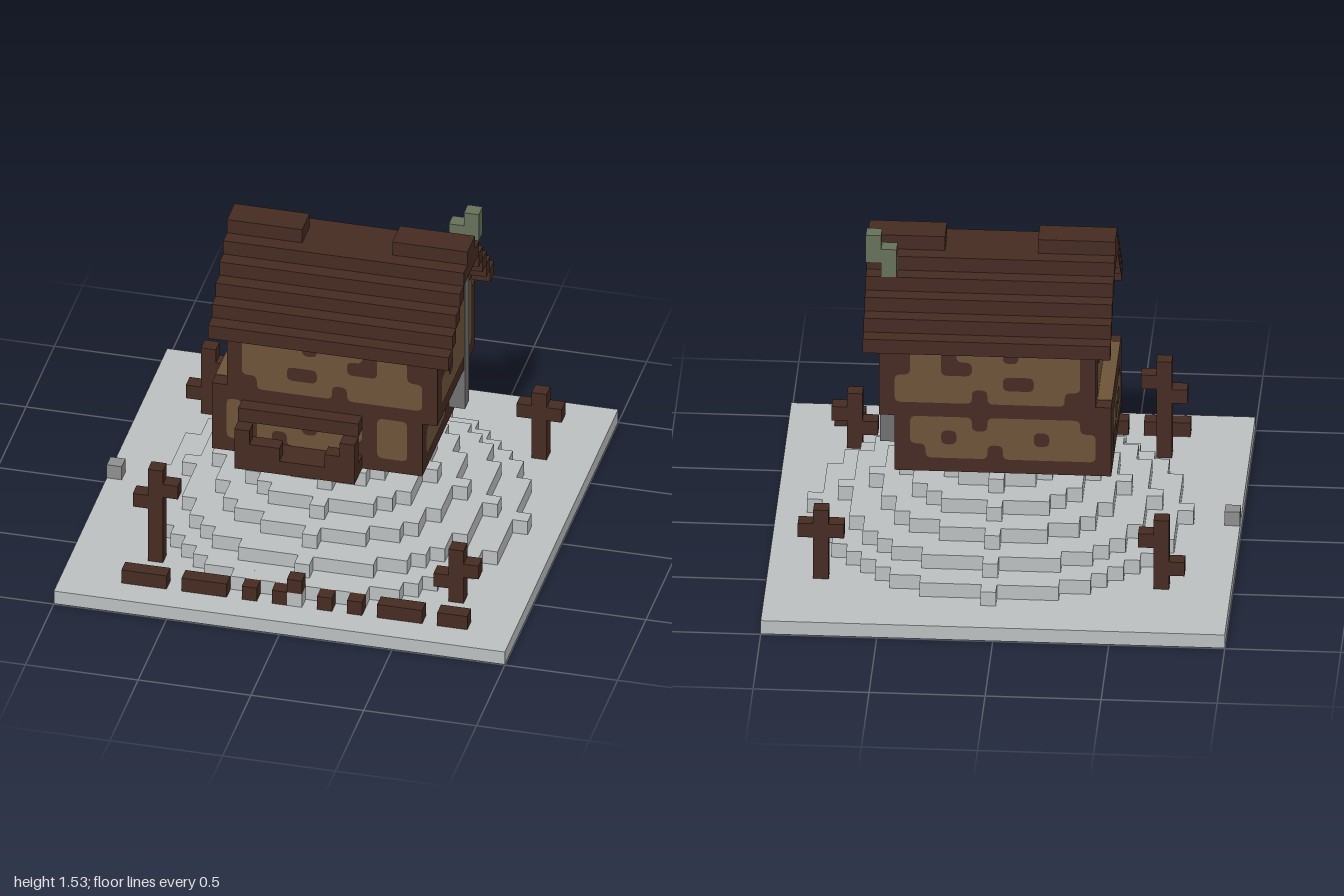
import * as THREE from 'three';
import { mergeGeometries } from 'three/addons/utils/BufferGeometryUtils.js';

const U = 1 / 15; // one block

const mat = (name, color, side = THREE.FrontSide) => {
  const m = new THREE.MeshStandardMaterial({ color, side });
  m.name = name;
  return m;
};

// Box from block coordinates [x0,x1, y0,y1, z0,z1]
function block([x0, x1, y0, y1, z0, z1]) {
  return new THREE.BoxGeometry((x1 - x0) * U, (y1 - y0) * U, (z1 - z0) * U)
    .translate((x0 + x1) * U / 2, (y0 + y1) * U / 2, (z0 + z1) * U / 2);
}

function part(name, material, boxes) {
  const mesh = new THREE.Mesh(mergeGeometries(boxes.map(block)), material);
  mesh.name = name;
  return mesh;
}

// Blocky disc, one row of blocks at a time
function disc(r, y0, y1) {
  const rows = [];
  for (let k = -r; k <= r; k++) {
    const w = Math.floor(Math.sqrt(r * r - k * k));
    rows.push([-w, w + 1, y0, y1, k, k + 1]);
  }
  return rows;
}

// Plaster patches with rounded corners: '#' plaster, '.' timber, ' ' outside the wall
function patches(name, material, rows, origin, angle) {
  const at = (i, j) => rows[j]?.[i] ?? '.';
  const shapes = [];
  const r = 0.4;
  rows.forEach((row, j) => [...row].forEach((cell, i) => {
    const corners = [[0, 0], [1, 0], [1, 1], [0, 1]];
    const y = -j - 1;
    const points = [];
    for (const [cx, cy] of corners) {
      const sx = cx ? 1 : -1, sy = cy ? 1 : -1;
      const h = at(i + sx, j), v = at(i, j - sy);
      const px = i + cx, py = y + cy;
      const a = new THREE.Vector2(px - sx * r, py), b = new THREE.Vector2(px, py - sy * r);
      const corner = new THREE.Vector2(px, py);
      const curve = new THREE.QuadraticBezierCurve(a, corner, b).getPoints(4);
      if (cell === '#') {
        if (h === '.' && v === '.') points.push(...(sx * sy > 0 ? curve.reverse() : curve));
        else points.push(corner);
      } else if (cell === '.' && h === '#' && v === '#') {
        shapes.push(new THREE.Shape([corner, ...curve]));
      }
    }
    if (points.length) shapes.push(new THREE.Shape(points));
  }));
  const mesh = new THREE.Mesh(new THREE.ShapeGeometry(shapes), material);
  mesh.name = name;
  mesh.scale.setScalar(U);
  mesh.position.set(...origin.map(v => v * U));
  mesh.rotation.y = angle;
  return mesh;
}

export function createModel() {
  const stone = mat('pale stone', 0xbbbfbf);
  const timber = mat('dark timber', 0x452b22);
  const plaster = mat('tan plaster', 0x6d5339, THREE.DoubleSide);
  const iron = mat('chimney grey', 0x707070);
  const smokeGreen = mat('smoke green', 0x657059);
  const rock = mat('rock grey', 0x8e8e8e);

  const model = new THREE.Group();
  model.name = 'hilltopCottage';

  // Ground slab with an earth disc beneath, and the stepped hill
  model.add(part('groundSlab', stone, [[-15, 15, 0.04, 1, -15, 15]]));
  model.add(part('earthDisc', plaster, disc(12, 0, 0.04)));
  const hill = new THREE.Group();
  hill.name = 'hill';
  for (let j = 1; j <= 6; j++) hill.add(part('hillStep', stone, disc(14 - 2 * j, j, j + 1)));
  model.add(hill);
  model.add(part('looseRock', rock, [[-15, -14, 1, 2, 0, 1]]));

  // House body: lower floor, shifted upper floor, stepped attic
  const house = new THREE.Group();
  house.name = 'house';
  house.add(part('lowerFloor', timber, [[-7, 7, 7, 12, -5, 5]]));
  house.add(part('upperFloor', timber, [[-6, 8, 11, 16, -5, 5]]));
  house.add(part('attic', timber, [
    [-6, 8, 16, 17, -4, 4], [-6, 8, 17, 19, -3, 3], [-6, 8, 19, 20, -2, 2],
  ]));

  // Plaster patches on every wall
  const e = 0.04;
  const frontUpper = ['.####.###.##..', '.#######..##..', '.###..#######.', '..#####.#####.'];
  const frontLower = ['.#.#######.##.', '.#.###.###.##.', '.#.#.####..##.'];
  const backLower = ['.####.######..', '.##.#####.###.', '..####.######.'];
  const sideUpper = [
    '   ####   ', '  ######  ', '  ###.##  ', ' ###.#### ',
    '.#.####.#.', '...####.#.', '.##.#####.', '.########.',
  ];
  const sideLower = ['..#######.', '.##.#.###.', '.#####..#.'];
  const flip = rows => rows.map(s => [...s].reverse().join(''));
  house.add(patches('frontUpperPlaster', plaster, frontUpper, [-6, 16, 5 + e], 0));
  house.add(patches('frontLowerPlaster', plaster, frontLower, [-7, 11, 5 + e], 0));
  house.add(patches('backUpperPlaster', plaster, flip(frontUpper), [8, 16, -5 - e], Math.PI));
  house.add(patches('backLowerPlaster', plaster, backLower, [7, 11, -5 - e], Math.PI));
  house.add(patches('rightUpperPlaster', plaster, sideUpper, [8 + e, 20, 5], Math.PI / 2));
  house.add(patches('rightLowerPlaster', plaster, sideLower, [7 + e, 11, 5], Math.PI / 2));
  house.add(patches('leftUpperPlaster', plaster, flip(sideUpper), [-6 - e, 20, -5], -Math.PI / 2));
  house.add(patches('leftLowerPlaster', plaster, flip(sideLower), [-7 - e, 11, -5], -Math.PI / 2));
  house.add(part('ledgePlaster', plaster, [[-7, -6, 12, 12 + e, -4, 4]]));

  // Stepped roof, open under the eaves, with a raised ridge at both ends
  const roof = [[-7, 9, 20, 21, -2, 2]];
  for (let s = 0; s < 4; s++) {
    roof.push([-7, 9, 16 + s, 17 + s, 5 - s, 6 - s], [-7, 9, 16 + s, 17 + s, s - 6, s - 5]);
  }
  house.add(part('roof', timber, roof));
  house.add(part('ridgeEnds', timber, [[-7, -2, 21, 22, -1, 1], [4, 9, 21, 22, -1, 1]]));

  // Chimney and drifting smoke
  house.add(part('chimney', iron, [[7, 8 + 2 * e, 8, 19, -3, -2]]));
  house.add(part('smoke', smokeGreen, [[7, 8, 20, 22, -3, -2], [8, 9, 21, 23, -3, -2]]));

  // Porch: floor, rail posts and canopy
  house.add(part('porch', timber, [
    [-5, 3, 7, 8, 5, 7], [-5, 3, 10, 11, 5, 6],
    [-5, -4, 8, 10, 6, 7], [2, 3, 8, 10, 6, 7],
    [-4, -2, 8, 8.98, 6, 7], [1, 2, 8, 8.98, 6, 7],
  ]));
  model.add(house);

  // Broken fence along the front
  const rails = [[-11, -8], [-7, -4], [-3, -2], [-1, 0], [2, 3], [4, 5], [6, 9], [10, 12]];
  model.add(part('fence', timber, [
    ...rails.map(([a, b]) => [a, b, 1, 2, 12, 13]), [0, 1, 2, 3, 12, 13],
  ]));

  // Crooked posts: x, z, top, left arm height, right arm height
  for (const [x, z, top, left, right] of [
    [-10, 9, 8, 5, 6], [10, 9, 5, 2, 3], [-11, -9, 6, 2, 4], [11, -9, 6, 4, 4],
  ]) {
    model.add(part('crossPost', timber, [
      [x, x + 1, 1, top, z, z + 1],
      [x - 1, x, left, left + 1, z, z + 1],
      [x + 1, x + 2, right, right + 1, z, z + 1],
    ]));
  }
  return model;
}
